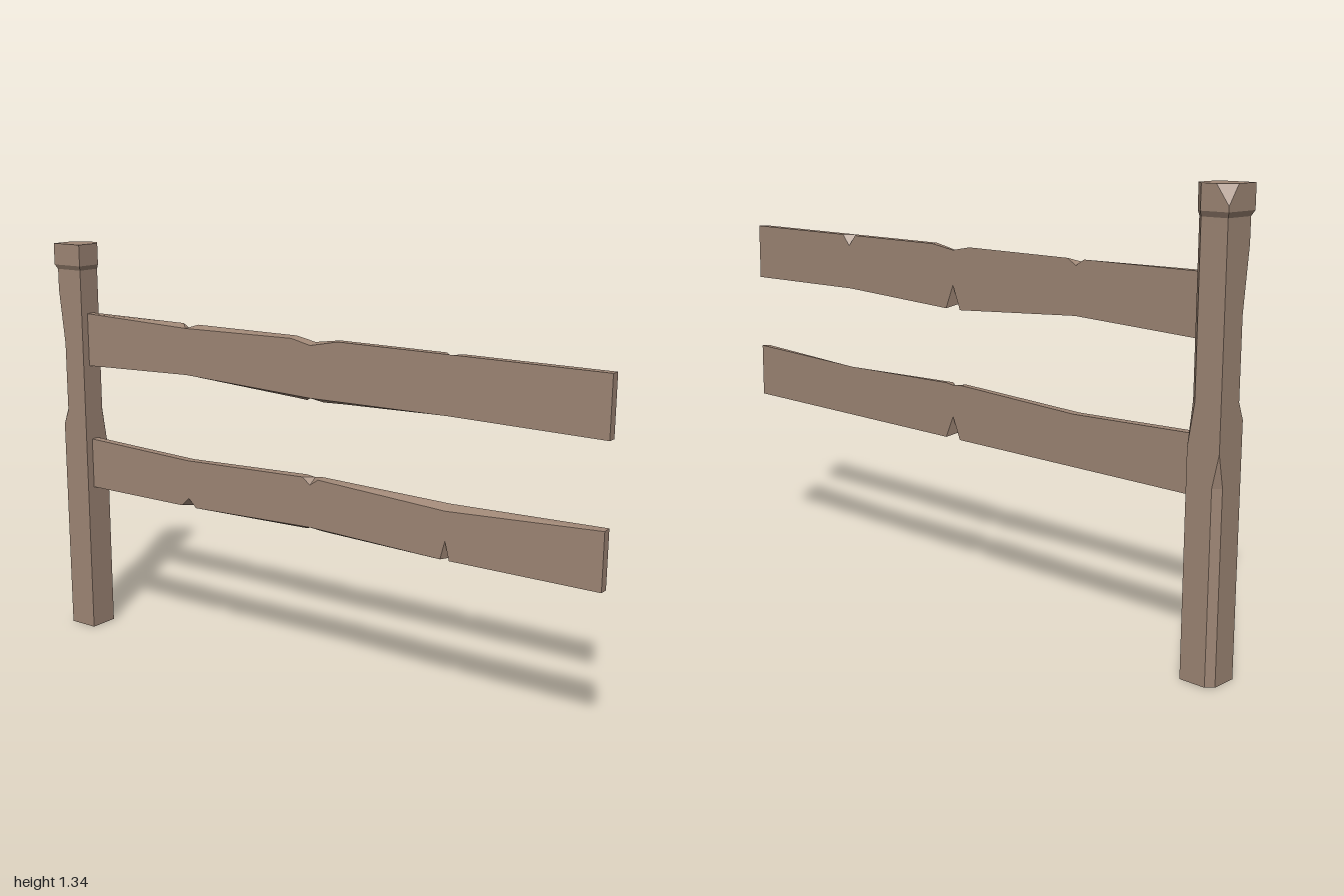
import * as THREE from 'three';

// Skins a list of matching rings (counter-clockwise about the travel axis),
// splitting each quad along its convex diagonal so that cuts read as facets.
function loft(rings) {
  const pos = [];
  const area = new THREE.Triangle();
  const tri = (a, b, c) => {
    if (area.set(a, b, c).getArea() > 1e-8) for (const p of [a, b, c]) pos.push(p.x, p.y, p.z);
  };
  const n = rings[0].length;
  for (let i = 0; i < rings.length - 1; i++) {
    for (let j = 0; j < n; j++) {
      const k = (j + 1) % n;
      const a = rings[i][j], b = rings[i][k], c = rings[i + 1][k], d = rings[i + 1][j];
      const out = c.clone().sub(a).cross(d.clone().sub(b));
      const bulge = a.clone().add(c).sub(b).sub(d).dot(out);
      if (bulge >= 0) { tri(a, b, c); tri(a, c, d); }
      else { tri(a, b, d); tri(b, c, d); }
    }
  }
  const first = rings[0], last = rings[rings.length - 1];
  for (let j = 1; j < n - 1; j++) {
    tri(first[0], first[j + 1], first[j]);
    tri(last[0], last[j], last[j + 1]);
  }
  const g = new THREE.BufferGeometry();
  g.setAttribute('position', new THREE.Float32BufferAttribute(pos, 3));
  g.computeVertexNormals();
  return g;
}

// Square post section; cuts are chamfers on the right-back, left-back and left-front corners
function postRing(y, hx, hz, cx, cuts) {
  const ring = [];
  [[1, 1], [1, -1], [-1, -1], [-1, 1]].forEach(([sx, sz], i) => {
    const c = i ? cuts[i - 1] : 0;
    const alongX = new THREE.Vector3(cx + sx * (hx - c), y, sz * hz);
    const alongZ = new THREE.Vector3(cx + sx * hx, y, sz * (hz - c));
    ring.push(...(sx * sz > 0 ? [alongX, alongZ] : [alongZ, alongX]));
  });
  return ring;
}

// Height of a polyline edge at x
function heightAt(edge, x) {
  for (let i = 1; i < edge.length; i++) {
    const [x0, y0] = edge[i - 1], [x1, y1] = edge[i];
    if (x <= x1) return y0 + (y1 - y0) * (x - x0) / (x1 - x0);
  }
  return edge[edge.length - 1][1];
}

// Plank whose four long edges are polylines of [x, y]
function railGeometry({ botFront, botBack, topBack, topFront }) {
  const front = 0.023, back = -0.006;
  const edges = [[botFront, front], [botBack, back], [topBack, back], [topFront, front]];
  const xs = [...new Set(edges.flatMap(([e]) => e.map(p => p[0])))].sort((a, b) => a - b);
  return loft(xs.map(x => edges.map(([e, z]) => new THREE.Vector3(x, heightAt(e, x), z))));
}

export function createModel() {
  const wood = new THREE.MeshStandardMaterial({ color: 0x9e8675 });
  wood.name = 'weatheredWood';
  wood.flatShading = true;
  const model = new THREE.Group();
  model.name = 'fenceSection';
  const add = (name, geometry) => {
    const mesh = new THREE.Mesh(geometry, wood);
    mesh.name = name;
    model.add(mesh);
  };

  // Post shaft with worn corners: [y, rightBack, leftBack, leftFront]
  const shaft = [
    [0, 0, 0.02, 0], [0.55, 0, 0.02, 0], [0.645, 0, 0, 0], [0.72, 0.012, 0, 0],
    [0.77, 0.02, 0, 0.02], [1.0, 0.02, 0, 0.02], [1.18, 0.02, 0, 0], [1.25, 0.02, 0, 0],
  ];
  add('post', loft(shaft.map(([y, ...cuts]) => postRing(y, 0.051, 0.05, -0.942, cuts))));

  // Post cap, bevelled below and chipped at the top back corner
  add('postCap', loft([
    postRing(1.25, 0.051, 0.05, -0.942, [0.02, 0, 0]),
    postRing(1.265, 0.058, 0.058, -0.942, [0.03, 0, 0]),
    postRing(1.28, 0.058, 0.058, -0.942, [0.03, 0, 0]),
    postRing(1.335, 0.058, 0.058, -0.942, [0.03, 0.04, 0]),
  ]));

  // Upper rail
  add('upperRail', railGeometry({
    botFront: [[-0.9, 0.928], [-0.46, 0.943], [0.03, 0.925], [0.51, 0.93], [1, 0.925]],
    botBack: [[-0.9, 0.928], [-0.46, 0.943], [0, 0.911], [0.03, 0.985], [0.06, 0.911], [0.51, 0.93], [1, 0.925]],
    topBack: [[-0.9, 1.105], [-0.49, 1.104], [-0.46, 1.085], [-0.43, 1.104], [-0.04, 1.105],
      [0.03, 1.092], [0.12, 1.105], [0.485, 1.105], [0.515, 1.07], [0.545, 1.105], [1, 1.105]],
    topFront: [[-0.9, 1.105], [-0.46, 1.093], [-0.04, 1.1], [0.03, 1.085], [0.13, 1.105], [1, 1.105]],
  }));

  // Lower rail
  add('lowerRail', railGeometry({
    botFront: [[-0.9, 0.505], [-0.49, 0.505], [-0.46, 0.533], [-0.43, 0.505], [0.03, 0.52],
      [0.495, 0.505], [0.51, 0.562], [0.525, 0.505], [1, 0.505]],
    botBack: [[-0.9, 0.505], [0, 0.505], [0.03, 0.575], [0.06, 0.505], [1, 0.505]],
    topBack: [[-0.9, 0.675], [-0.46, 0.66], [0, 0.678], [0.03, 0.674], [0.06, 0.678], [0.51, 0.668], [1, 0.68]],
    topFront: [[-0.9, 0.675], [-0.46, 0.66], [0, 0.676], [0.03, 0.655], [0.06, 0.675], [0.51, 0.652], [1, 0.678]],
  }));

  return model;
}
